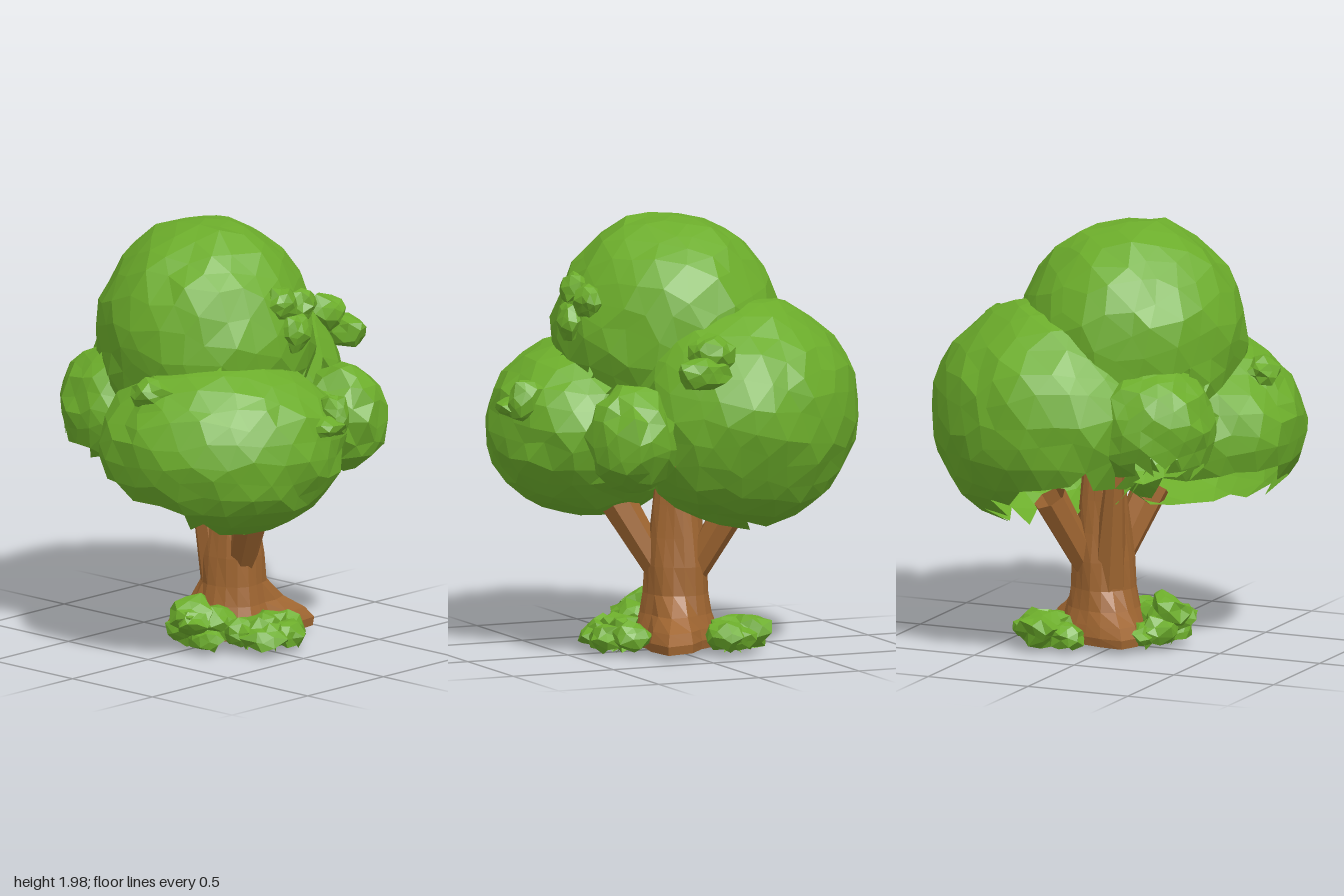
import * as THREE from 'three';

const leaf = new THREE.MeshStandardMaterial({ color: 0x6cad2b, flatShading: true, side: THREE.DoubleSide });
leaf.name = 'leaf green';
const bark = new THREE.MeshStandardMaterial({ color: 0xa06631, flatShading: true, side: THREE.DoubleSide });
bark.name = 'bark brown';

const UP = new THREE.Vector3(0, 1, 0);
const DIAGONAL = Math.PI / 4;

// Crowns: centre, radii, turn about y, ragged cut height of the open underside
const crowns = [
  { name: 'topCrown', c: [-0.08, 1.435, -0.035], r: [0.53, 0.56, 0.5], yaw: DIAGONAL, detail: 4, rough: 0.024, seed: 1 },
  { name: 'backCrown', c: [0.24, 1.105, -0.27], r: [0.515, 0.53, 0.59], yaw: DIAGONAL, detail: 4, rough: 0.022, seed: 2, cut: 0.66 },
  { name: 'frontCrown', c: [-0.28, 1.015, 0.255], r: [0.48, 0.42, 0.56], yaw: DIAGONAL, detail: 4, rough: 0.024, seed: 3, cut: 0.66 },
  { name: 'rearSmallCrown', c: [-0.33, 1.11, -0.36], r: [0.29, 0.29, 0.26], yaw: DIAGONAL, detail: 3, rough: 0.04, seed: 4, cut: 0.88 },
  { name: 'frontSmallCrown', c: [0.41, 1.04, 0.36], r: [0.2, 0.25, 0.21], yaw: 0, detail: 2, rough: 0.07, seed: 5 },
];

// Repeatable noise in -1..1, equal for equal positions so seams stay closed
function noise(x, y, z, seed) {
  const r = (v) => Math.round(v * 1000) / 1000 + 0;
  const s = Math.sin(r(x) * 127.1 + r(y) * 311.7 + r(z) * 74.7 + seed * 19.3) * 43758.5453;
  return (s - Math.floor(s)) * 2 - 1;
}

// True when a point lies well inside a crown
function isInside(point, { c, r, yaw }) {
  const q = point.clone().sub(new THREE.Vector3(...c)).applyAxisAngle(UP, -yaw);
  return q.divide(new THREE.Vector3(...r)).length() < 0.9;
}

// Faceted leaf ball; faces for which drop(middle) holds are left out
function leafBall({ name, c, r, yaw = 0, detail = 1, rough = 0.16, seed }, drop = () => false) {
  const src = new THREE.IcosahedronGeometry(1, detail);
  src.rotateY(seed).rotateX(seed * 0.7);
  const p = src.attributes.position;
  const centre = new THREE.Vector3(...c), radii = new THREE.Vector3(...r);
  const slide = detail > 2 ? 0.05 : 0.12;
  const points = [];
  for (let i = 0; i < p.count; i++) {
    const x = p.getX(i), y = p.getY(i), z = p.getZ(i);
    const swell = 1 + rough * noise(x, y, z, seed) + rough * 0.7 * Math.sin(x * 5 + seed) * Math.sin(y * 4 + z * 5);
    points.push(new THREE.Vector3(x + slide * noise(y, z, x, seed + 1), y + slide * noise(z, x, y, seed + 2),
      z + slide * noise(x, z, y, seed + 3))
      .setLength(swell).multiply(radii).applyAxisAngle(UP, yaw).add(centre));
  }
  const kept = [];
  for (let i = 0; i < points.length; i += 3) {
    const face = points.slice(i, i + 3);
    const middle = face[0].clone().add(face[1]).add(face[2]).divideScalar(3);
    if (!drop(middle)) kept.push(...face);
  }
  const geo = new THREE.BufferGeometry().setFromPoints(kept);
  geo.computeVertexNormals();
  const mesh = new THREE.Mesh(geo, leaf);
  mesh.name = name;
  return mesh;
}

// Crown without its buried faces, and open below with a tilted ragged rim
function makeCrown(crown) {
  const { c, cut = 0 } = crown;
  return leafBall(crown, (m) =>
    m.y < cut - 0.3 * (m.x + m.z - c[0] - c[2]) || crowns.some((o) => o !== crown && isInside(m, o)));
}

// Limb widening towards its open end
function limb(name, from, to, r0, r1) {
  const a = new THREE.Vector3(...from), b = new THREE.Vector3(...to);
  const dir = b.clone().sub(a);
  const mesh = new THREE.Mesh(new THREE.CylinderGeometry(r1, r0, dir.length(), 7, 2, true), bark);
  mesh.position.copy(a).add(b).multiplyScalar(0.5);
  mesh.quaternion.setFromUnitVectors(UP, dir.normalize());
  mesh.name = name;
  return mesh;
}

// Hollow trunk whose foot swells into two roots: [angle, reach]
function makeTrunk() {
  const roots = [[0.5, 0.17], [-2.4, 0.11]];
  const profile = [[0.195, 0.03], [0.2, 0.07], [0.185, 0.12], [0.165, 0.18], [0.15, 0.27], [0.143, 0.4],
    [0.126, 0.53], [0.108, 0.68], [0.09, 0.85]].map(([r, y]) => new THREE.Vector2(r, y));
  const geo = new THREE.LatheGeometry(profile, 18);
  const p = geo.attributes.position;
  for (let i = 0; i < p.count; i++) {
    const x = p.getX(i), y = p.getY(i), z = p.getZ(i);
    const angle = Math.atan2(z, x), radius = Math.hypot(x, z);
    let reach = radius * (1 + 0.04 * Math.sin(3 * angle + y * 4) + 0.03 * Math.sin(5 * angle - y * 9));
    for (const [a, size] of roots) {
      const turn = Math.acos(Math.min(1, Math.cos(angle - a)));
      reach += size * Math.exp(-((turn / 0.42) ** 2)) * THREE.MathUtils.clamp((0.25 - y) / 0.15, 0, 1) ** 1.3;
    }
    p.setXYZ(i, 0.075 + x / radius * reach, y, -0.01 + z / radius * reach);
  }
  geo.computeVertexNormals();
  const mesh = new THREE.Mesh(geo, bark);
  mesh.name = 'trunk';
  return mesh;
}

// Low bush made of small leaf balls: [x, y, z, radius]
function bush(name, balls, seed) {
  const group = new THREE.Group();
  group.name = name;
  balls.forEach(([x, y, z, r], i) => group.add(leafBall(
    { name: 'bushLeaves', c: [x, y, z], r: [r, r * 0.8, r], rough: 0.2, seed: seed + i }, (m) => m.y < 0.03)));
  return group;
}

export function createModel() {
  const tree = new THREE.Group();
  tree.name = 'tree';

  // Trunk and branches
  tree.add(
    makeTrunk(),
    limb('frontBranch', [0.05, 0.36, 0.06], [-0.05, 0.7, 0.24], 0.065, 0.085),
    limb('rightBranch', [0.13, 0.36, -0.06], [0.25, 0.7, -0.22], 0.065, 0.08),
    limb('backBranch', [0.03, 0.26, -0.06], [-0.04, 0.86, -0.14], 0.085, 0.04),
  );

  // Crowns
  crowns.forEach((crown) => tree.add(makeCrown(crown)));

  // Leaf tufts lying on the crowns: centre, radii
  [[-0.08, 1.66, 0.43, 0.08, 0.08, 0.07], [0.06, 1.63, 0.43, 0.08, 0.08, 0.06],
    [-0.03, 1.53, 0.48, 0.08, 0.09, 0.06], [0.61, 1.44, 0.06, 0.09, 0.09, 0.11],
    [0.66, 1.36, 0.12, 0.08, 0.08, 0.12], [-0.02, 1.18, 0.7, 0.06, 0.1, 0.09],
    [-0.1, 1.14, 0.72, 0.09, 0.05, 0.09], [-0.64, 1.3, 0.16, 0.08, 0.07, 0.1],
  ].forEach(([x, y, z, ...r], i) =>
    tree.add(leafBall({ name: 'leafTuft', c: [x, y, z], r, seed: 10 + i })));

  // Bushes round the foot
  tree.add(
    bush('leftBush', [[-0.23, 0.17, 0.03, 0.1], [-0.27, 0.14, 0.07, 0.08], [-0.15, 0.13, 0.1, 0.1],
      [-0.2, 0.08, -0.03, 0.1], [-0.15, 0.07, -0.1, 0.07], [-0.23, 0.07, 0.1, 0.08]], 30),
    bush('frontBush', [[0.02, 0.1, 0.25, 0.1], [-0.06, 0.08, 0.3, 0.1], [0.06, 0.07, 0.33, 0.09],
      [0.15, 0.09, 0.25, 0.09], [-0.1, 0.09, 0.21, 0.09]], 40),
    bush('rightBush', [[0.25, 0.11, -0.2, 0.09], [0.33, 0.09, -0.14, 0.09], [0.27, 0.1, -0.28, 0.1],
      [0.36, 0.08, -0.2, 0.07], [0.16, 0.07, -0.25, 0.08]], 50),
  );
  return tree;
}
